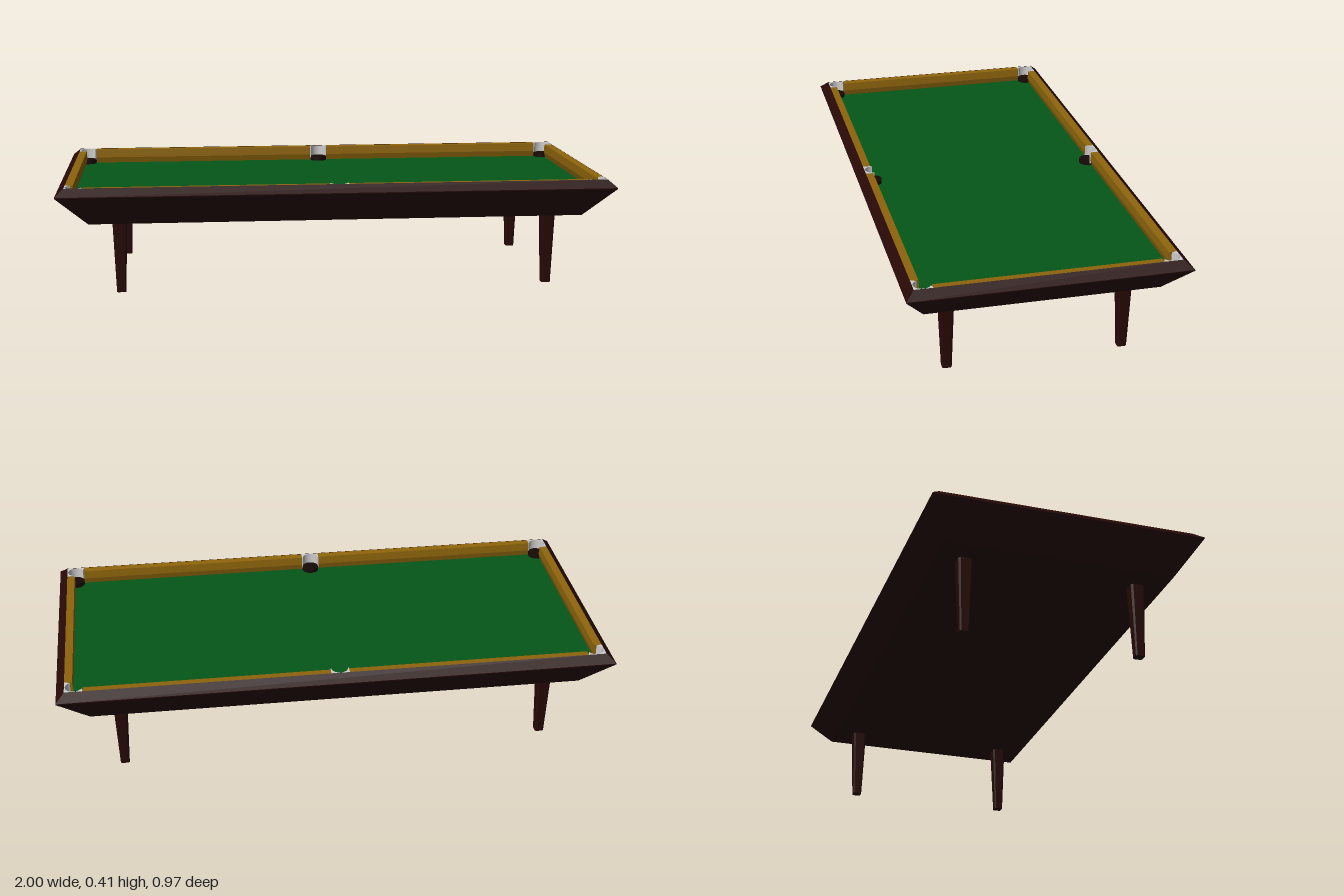
import * as THREE from 'three';

const mat = (color) => new THREE.MeshStandardMaterial({ color });

// Rectangular loops [halfX, halfZ, y] joined into flat mitred bands
function loopBands(levels) {
  const corners = ([hx, hz, y]) => [[1, 1], [1, -1], [-1, -1], [-1, 1]]
    .map(([sx, sz]) => [sx * hx, y, sz * hz]);
  const pos = [];
  for (let i = 0; i < levels.length - 1; i++) {
    const lo = corners(levels[i]), hi = corners(levels[i + 1]);
    for (let k = 0; k < 4; k++) {
      const n = (k + 1) % 4;
      pos.push(...lo[k], ...lo[n], ...hi[n], ...lo[k], ...hi[n], ...hi[k]);
    }
  }
  const geo = new THREE.BufferGeometry();
  geo.setAttribute('position', new THREE.Float32BufferAttribute(pos, 3));
  geo.computeVertexNormals();
  return geo;
}

// Square post with chamfered edges, narrowing towards the floor
function taperedLeg(height, half, chamfer, footScale) {
  const c = half - chamfer;
  const outline = [[half, -c], [half, c], [c, half], [-c, half], [-half, c], [-half, -c], [-c, -half], [c, -half]];
  const shape = new THREE.Shape(outline.map(([x, y]) => new THREE.Vector2(x, y)));
  const geo = new THREE.ExtrudeGeometry(shape, { depth: height, bevelEnabled: false }).rotateX(-Math.PI / 2);
  const p = geo.attributes.position;
  for (let i = 0; i < p.count; i++) {
    const s = THREE.MathUtils.lerp(footScale, 1, p.getY(i) / height);
    p.setX(i, p.getX(i) * s).setZ(i, p.getZ(i) * s);
  }
  geo.computeVertexNormals();
  return geo;
}

export function createModel() {
  const table = new THREE.Group();
  table.name = 'poolTable';
  const wood = mat(0x270906);
  const felt = mat(0x045719);
  const gold = mat(0x8e650c);
  const metal = mat(0xcccccc);
  const black = mat(0x170a08);
  const add = (name, geo, material, x = 0, y = 0, z = 0, turn = 0) => {
    const mesh = new THREE.Mesh(geo, material);
    mesh.name = name;
    mesh.position.set(x, y, z);
    mesh.rotation.y = turn;
    table.add(mesh);
  };

  const wallX = 0.97, wallZ = 0.453, bedY = 0.353;

  // Sloping apron, bevelled rim and inner wall
  add('frame', loopBands([
    [0.89, 0.408, 0.27], [1, 0.483, 0.378], [1, 0.483, 0.381],
    [wallX, wallZ, 0.408], [wallX, wallZ, bedY],
  ]), wood);
  const under = new THREE.PlaneGeometry(1.78, 0.816).rotateX(Math.PI / 2);
  add('underside', under, wood, 0, 0.27, 0);

  // Playing surface
  const bed = new THREE.PlaneGeometry(2 * wallX, 2 * wallZ).rotateX(-Math.PI / 2);
  add('felt', bed, felt, 0, bedY, 0);

  // Cushions: flat-topped profile run between each pair of pockets
  const profile = new THREE.Shape([[0, 0.407], [0.028, 0.406], [0.03, 0.375], [0.024, bedY], [0, bedY]]
    .map(([u, y]) => new THREE.Vector2(u, y)));
  const cushion = (length, x, z, turn) => {
    const geo = new THREE.ExtrudeGeometry(profile, { depth: length, bevelEnabled: false });
    add('cushion', geo.translate(0, 0, -length / 2), gold, x, 0, z, turn);
  };
  for (const s of [1, -1]) {
    cushion(0.776, s * wallX, 0, s > 0 ? Math.PI : 0);
    for (const t of [1, -1]) cushion(0.872, t * 0.469, s * wallZ, s * Math.PI / 2);
  }

  // Pocket castings, with a round notch open to the table
  const casting = (points, from, to) => {
    const shape = new THREE.Shape();
    points.forEach(([x, y], i) => (i ? shape.lineTo(x, y) : shape.moveTo(x, y)));
    shape.absarc(0, 0, 0.03, from, to, true);
    shape.closePath();
    return new THREE.ExtrudeGeometry(shape, { depth: 0.046, bevelEnabled: false, curveSegments: 20 })
      .rotateX(-Math.PI / 2);
  };
  const cornerGeo = casting([[0.033, -0.034], [0.033, 0.033], [-0.034, 0.033]], 2.7, -1.13);
  const middleGeo = casting([[0.033, 0], [0.033, 0.033], [-0.033, 0.033], [-0.033, 0]], Math.PI, 0);
  const cupGeo = new THREE.CylinderGeometry(0.031, 0.031, 0.016, 24);
  const pocket = (geo, x, z, turn) => {
    add('pocketCasting', geo, metal, x, 0.361, z, turn);
    add('pocketCup', cupGeo, black, x, bedY + 0.008, z);
  };
  const px = 0.937, pz = 0.42;
  [[1, -1], [-1, -1], [-1, 1], [1, 1]].forEach(([sx, sz], k) =>
    pocket(cornerGeo, sx * px, sz * pz, k * Math.PI / 2));
  pocket(middleGeo, 0, -pz, 0);
  pocket(middleGeo, 0, pz, Math.PI);

  // Tapered legs
  const legGeo = taperedLeg(0.271, 0.026, 0.007, 0.63);
  for (const sx of [1, -1])
    for (const sz of [1, -1]) add('leg', legGeo, wood, sx * 0.784, 0, sz * 0.312);

  return table;
}
